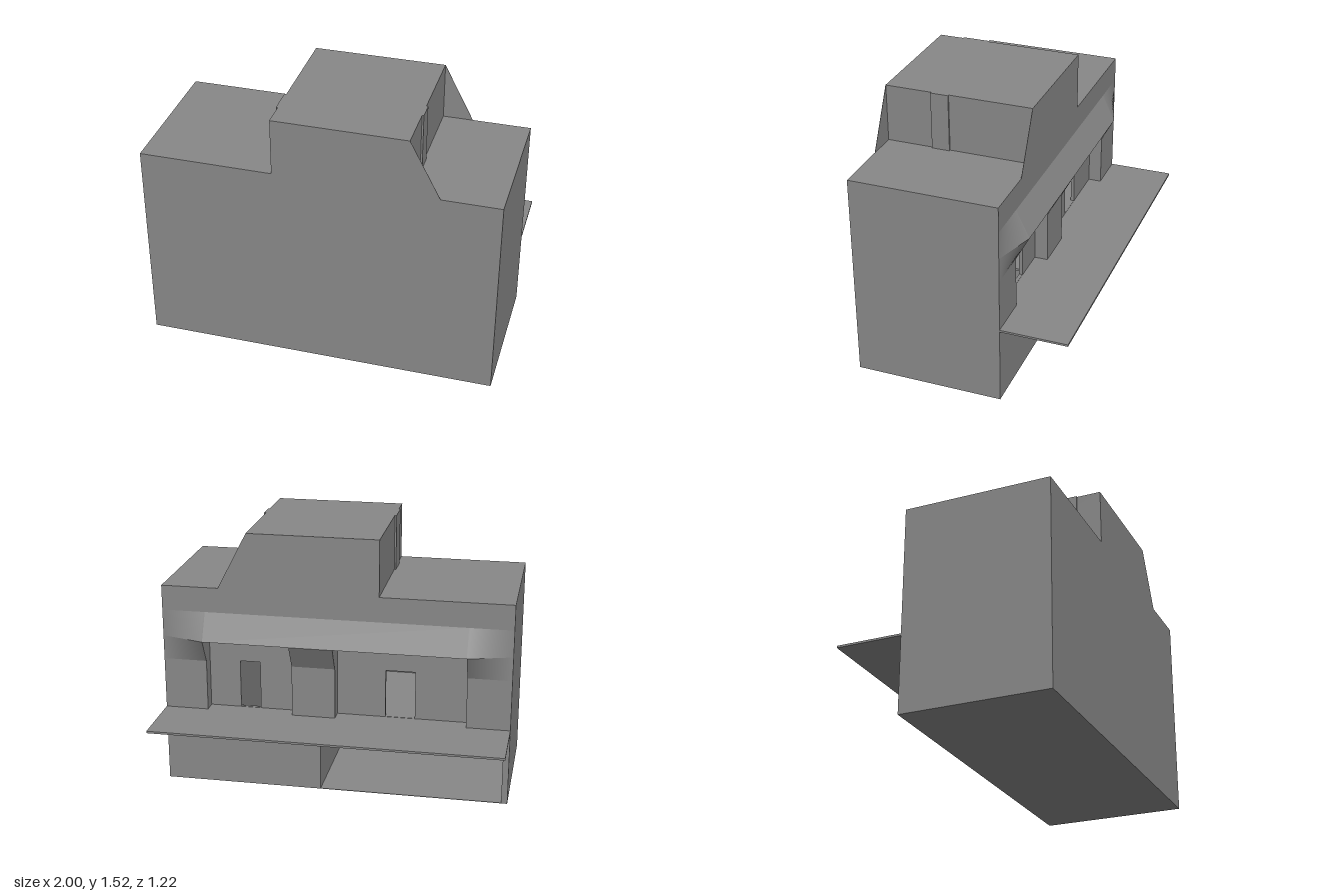
import * as THREE from 'three';

const grey = new THREE.MeshStandardMaterial({ color: 0x888888, side: THREE.DoubleSide });
const BACK = -0.231, FRONT = 0.611, WALL = 0.035, CEIL = 0.89, FLOOR = 0.452, SLAB = 0.44, ROOF = 1.19, TOP = 1.517;

export function createModel() {
  const model = new THREE.Group();

  const add = (name, geometry) => {
    const mesh = new THREE.Mesh(geometry, grey);
    mesh.name = name;
    model.add(mesh);
    return mesh;
  };

  // Box given by its limits on each axis
  const box = (name, x0, x1, y0, y1, z0, z1) => {
    const g = new THREE.BoxGeometry(x1 - x0, y1 - y0, z1 - z0);
    g.translate((x0 + x1) / 2, (y0 + y1) / 2, (z0 + z1) / 2);
    return add(name, g);
  };

  // Solid through triangular sections ordered by rising x, smooth only along x
  const loft = (name, sections) => {
    const pos = [], idx = [], n = sections.length;
    for (let s = 0; s < 3; s++) {
      const base = pos.length / 3;
      sections.forEach((t) => pos.push(...t[s], ...t[(s + 1) % 3]));
      for (let i = 0; i < n - 1; i++) {
        const a = base + i * 2;
        idx.push(a, a + 2, a + 3, a, a + 3, a + 1);
      }
    }
    const caps = pos.length / 3;
    pos.push(...sections[0].flat(), ...sections[n - 1].flat());
    idx.push(caps, caps + 1, caps + 2, caps + 5, caps + 4, caps + 3);
    const g = new THREE.BufferGeometry();
    g.setAttribute('position', new THREE.Float32BufferAttribute(pos, 3));
    g.setIndex(idx);
    g.computeVertexNormals();
    return add(name, g);
  };

  // Shell: roof mass, outer walls and ground floor
  box('roofBlock', -1, 1, CEIL, ROOF, BACK, FRONT);
  box('frontWall', -1, 1, 0, CEIL, FRONT - WALL, FRONT);
  box('rightWall', -1, -1 + WALL, 0, CEIL, BACK, FRONT - WALL);
  box('leftWall', 1 - WALL, 1, 0, CEIL, BACK, FRONT - WALL);
  box('groundFloor', -1 + WALL, 1 - WALL, 0, 0.003, BACK, FRONT - WALL);

  // Closed half of the lower storey
  box('lowerBackWall', 0.085, 1 - WALL, 0, SLAB, BACK, BACK + WALL);
  box('lowerSideWall', 0.085, 0.12, 0, SLAB, BACK + WALL, FRONT - WALL);

  // Upper floor, leaving a stairwell behind the left doorway
  const INNER = -0.135;
  box('ledge', -1, 1, SLAB, FLOOR, -0.611, BACK);
  box('upperFloor', -1 + WALL, 1 - WALL, SLAB, FLOOR, BACK, INNER);
  box('upperFloor', -1 + WALL, 0.4, SLAB, FLOOR, INNER, FRONT - WALL);
  box('upperFloor', 0.57, 1 - WALL, SLAB, FLOOR, INNER, FRONT - WALL);
  box('stairWall', 0.57, 0.6, 0, CEIL, INNER, FRONT - WALL);

  // Recessed wall with two doorways
  const wall = new THREE.Shape();
  wall.moveTo(-0.965, FLOOR).lineTo(0.965, FLOOR).lineTo(0.965, CEIL).lineTo(-0.965, CEIL);
  for (const [x0, x1] of [[-0.45, -0.28], [0.452, 0.57]]) {
    const door = new THREE.Path();
    door.moveTo(x0, FLOOR + 0.002).lineTo(x0, 0.735).lineTo(x1, 0.735).lineTo(x1, FLOOR + 0.002);
    wall.holes.push(door);
  }
  const wallGeometry = new THREE.ExtrudeGeometry(wall, { depth: 0.02, bevelEnabled: false });
  wallGeometry.translate(0, 0, INNER - 0.02);
  add('recessedWall', wallGeometry);

  // Pillars between the openings
  for (const [x0, x1] of [[-1, -0.75], [0, 0.25], [0.75, 1]]) {
    box('pillar', x0, x1, FLOOR, CEIL, BACK, INNER - 0.02);
  }

  // Sloping canopy, its ends tapering into the wall, on corbels
  const NOSE = -0.307, STEPS = 24;
  const canopy = (x, z) => [[x, 1.045, BACK], [x, CEIL, z], [x, CEIL, BACK]];
  const corbel = (x, z) => [[x, CEIL, z], [x, 0.75, BACK], [x, CEIL, BACK]];
  loft('canopy', [canopy(-0.75, NOSE), canopy(0.75, NOSE)]);
  loft('corbel', [corbel(0, NOSE), corbel(0.25, NOSE)]);
  for (const side of [-1, 1]) {
    const taper = (section) => Array.from({ length: STEPS + 1 }, (_, i) => {
      const t = i / STEPS;
      return section(side * (0.75 + 0.25 * t), NOSE + (BACK - NOSE) * t);
    }).sort((a, b) => a[0][0] - b[0][0]);
    loft('canopyEnd', taper(canopy));
    loft('corbelEnd', taper(corbel));
  }

  // Roof tower with a shallow strip on each side
  box('tower', -0.25, 0.5, ROOF, TOP, BACK, FRONT);
  box('towerStrip', 0.5, 0.51, ROOF, TOP, 0.243, 0.345);
  box('towerStrip', -0.26, -0.25, ROOF, TOP, 0.32, 0.47);

  // Thin sloping fins beside the tower, front and back
  const fin = new THREE.Shape();
  fin.moveTo(0.5, ROOF).lineTo(0.67, ROOF).lineTo(0.5, TOP);
  for (const z of [BACK, FRONT - 0.002]) {
    const g = new THREE.ExtrudeGeometry(fin, { depth: 0.002, bevelEnabled: false });
    g.translate(0, 0, z);
    add('fin', g);
  }

  return model;
}
